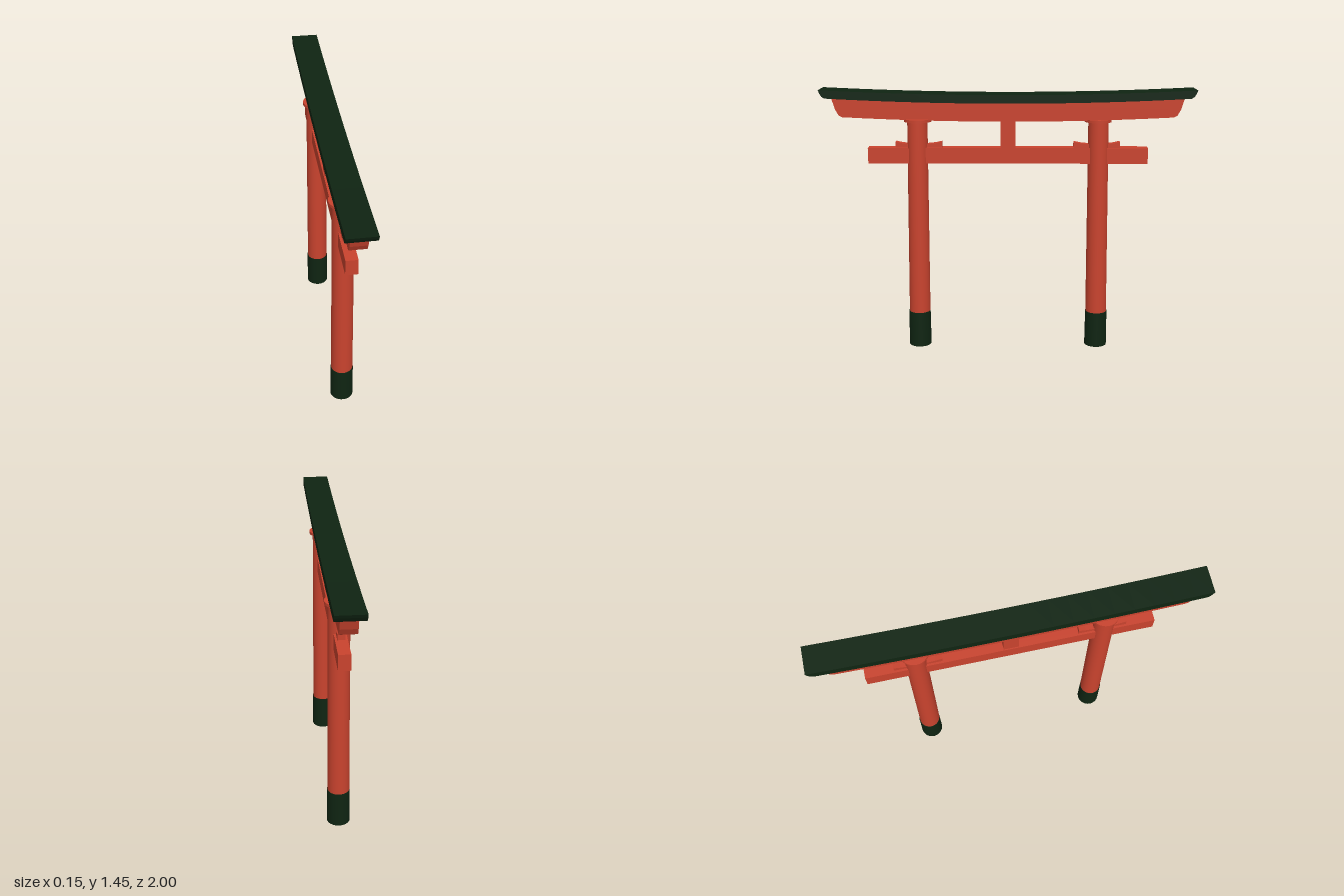
import * as THREE from 'three';

export function createModel() {
  const model = new THREE.Group();
  model.name = 'shrineGate';
  const red = new THREE.MeshStandardMaterial({ color: 0xc9432e });
  red.name = 'vermilion';
  const dark = new THREE.MeshStandardMaterial({ color: 0x0f2412 });
  dark.name = 'darkGreen';

  function add(name, geometry, material, x = 0, y = 0, z = 0) {
    const mesh = new THREE.Mesh(geometry, material);
    mesh.name = name;
    mesh.position.set(x, y, z);
    model.add(mesh);
    return mesh;
  }

  // Extrude a [z, y] outline across x, centred
  function slab(points, width) {
    const shape = new THREE.Shape(points.map(([z, y]) => new THREE.Vector2(z, y)));
    const geometry = new THREE.ExtrudeGeometry(shape, { depth: width, bevelEnabled: false });
    return geometry.translate(0, 0, -width / 2).rotateY(-Math.PI / 2);
  }

  // Gently upswept beam: parabolic top and bottom, with given right-end points (bottom to top)
  function sweptBeam(bottom, top, ends, width) {
    const n = 20, points = [];
    const [zb, yb] = ends[0], [zt, yt] = ends[ends.length - 1];
    for (let i = 0; i < n; i++) {
      const t = -1 + (2 * i) / n;
      points.push([zb * t, bottom + (yb - bottom) * t * t]);
    }
    points.push(...ends);
    for (let i = 1; i < n; i++) {
      const t = 1 - (2 * i) / n;
      points.push([zt * t, top + (yt - top) * t * t]);
    }
    for (let i = ends.length - 1; i > 0; i--) points.push([-ends[i][0], ends[i][1]]);
    return slab(points, width);
  }

  // Roof cap and the lintel beneath it
  add('roofCap', sweptBeam(1.38, 1.425,
    [[0.968, 1.406], [0.982, 1.415], [0.993, 1.433], [1, 1.45]], 0.146), dark);
  add('lintel', sweptBeam(1.28, 1.382,
    [[0.885, 1.303], [0.902, 1.312], [0.92, 1.345], [0.938, 1.406]], 0.084), red);

  // Tie beam and centre strut
  add('tieBeam', new THREE.BoxGeometry(0.062, 0.085, 1.51), red, 0, 1.0925, 0);
  add('centreStrut', new THREE.BoxGeometry(0.05, 0.155, 0.08), red, 0, 1.21, 0);

  for (const side of [1, -1]) {
    // Pillar, leaning slightly inward
    const pillar = new THREE.CylinderGeometry(0.0545, 0.0585, 1.1, 32);
    const pos = pillar.attributes.position;
    for (let i = 0; i < pos.count; i++) {
      pos.setZ(i, pos.getZ(i) - side * 0.011 * (pos.getY(i) / 1.1 + 0.5));
    }
    add('pillar', pillar, red, 0, 0.73, side * 0.498);

    add('pillarBase', new THREE.CylinderGeometry(0.0605, 0.062, 0.2, 32), dark, 0, 0.1, side * 0.499);
    add('pillarCollar', new THREE.CylinderGeometry(0.073, 0.073, 0.015, 32), red, 0, 1.2825, side * 0.485);

    // Wedges on both faces of the pillar, dipping toward it
    const wedge = slab([[-0.125, 1.13], [0.125, 1.13], [0.125, 1.167], [0.09, 1.159],
      [0.05, 1.155], [-0.05, 1.155], [-0.09, 1.159], [-0.125, 1.167]], 0.04);
    add('wedge', wedge, red, 0, 0, side * 0.48);
  }
  return model;
}
